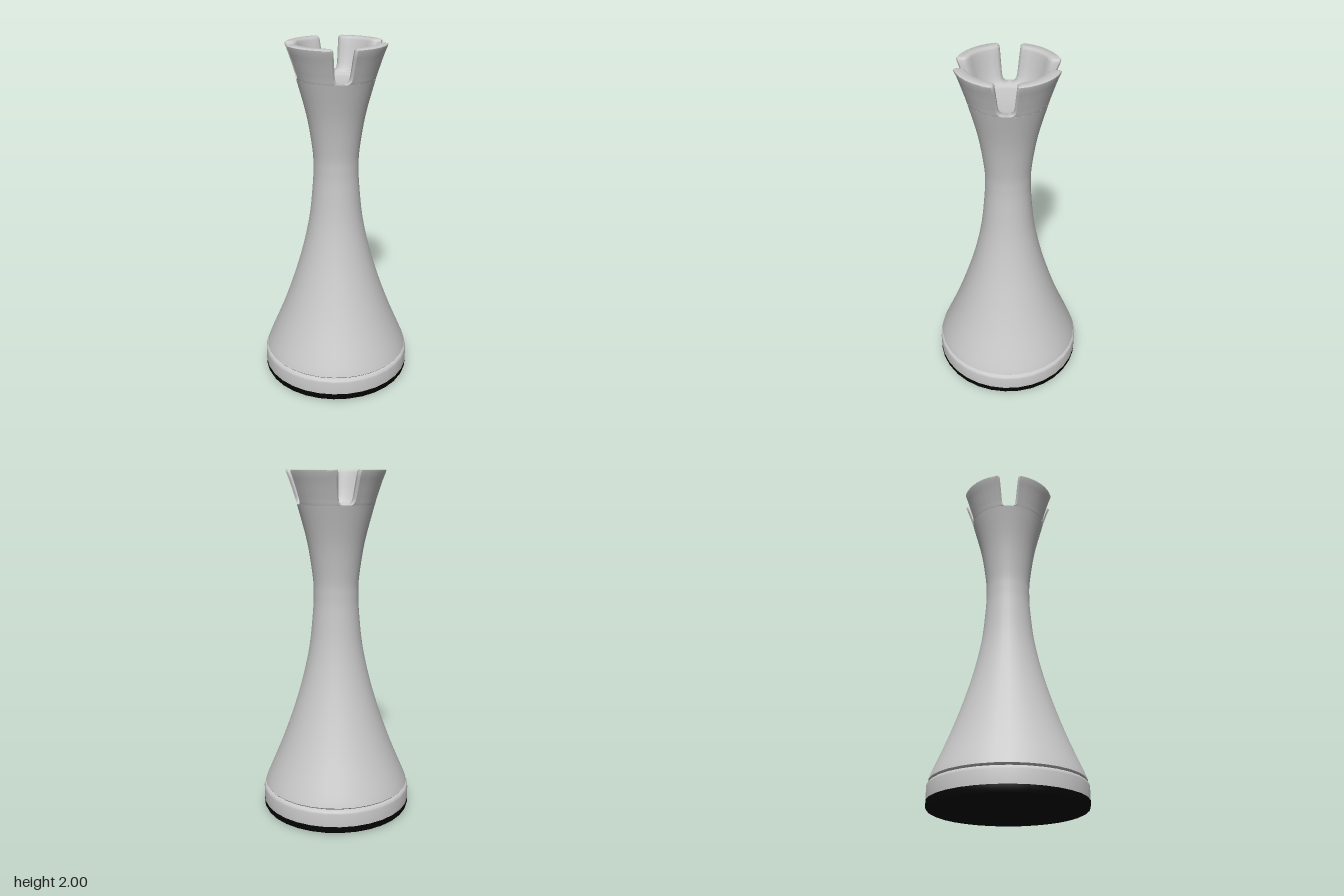
import * as THREE from 'three';
import { toCreasedNormals } from 'three/addons/utils/BufferGeometryUtils.js';

const SEGMENTS = 32;
const ARC = 8;

// Smooth surface of revolution from [radius, height] pairs, bottom to top
function turned(name, profile, material) {
  const points = profile.map(([r, y]) => new THREE.Vector2(r, y));
  const geometry = toCreasedNormals(new THREE.LatheGeometry(points, SEGMENTS), 0.7);
  const mesh = new THREE.Mesh(geometry, material);
  mesh.name = name;
  return mesh;
}

// Outline of one battlement at a height: outer arc, then inner arc back
function outline(y, outer, inner, gap) {
  const soft = 0.012;
  const arc = (r, sign) => {
    const row = [];
    for (let i = 0; i <= ARC; i++) {
      const atEnd = i === 0 || i === ARC;
      const radius = atEnd ? r - sign * soft : r;
      const start = Math.asin((atEnd ? gap : gap + soft) / radius);
      const t = atEnd ? i / ARC : (i - 1) / (ARC - 2);
      const a = start + (Math.PI / 2 - 2 * start) * t;
      row.push([radius * Math.cos(a), y, radius * Math.sin(a)]);
    }
    return row;
  };
  return [...arc(outer, 1), ...arc(inner, -1).reverse()];
}

// Flared battlement lofted through its outlines
function battlementGeometry() {
  // height, outer radius, inner radius, half width of the neighbouring slot
  const levels = [
    [1.81, 0.22, 0.165, 0.012],
    [1.815, 0.222, 0.169, 0.026],
    [1.828, 0.225, 0.176, 0.037],
    [1.85, 0.232, 0.186, 0.042],
    [1.9, 0.248, 0.2, 0.047],
    [1.95, 0.265, 0.213, 0.052],
    [1.984, 0.279, 0.221, 0.056],
    [1.995, 0.281, 0.225, 0.06],
    [2.0, 0.276, 0.232, 0.066],
  ];
  const loops = levels.map((level) => outline(...level));
  const n = loops[0].length;
  const index = [];
  for (let j = 0; j < loops.length - 1; j++) {
    for (let i = 0; i < n; i++) {
      const a = j * n + i;
      const b = j * n + ((i + 1) % n);
      index.push(a, a + n, b, b, a + n, b + n);
    }
  }
  // Top face
  const top = (loops.length - 1) * n;
  for (let i = 0; i < ARC; i++) {
    const o = top + i;
    const k = top + n - 1 - i;
    index.push(o, k, o + 1, o + 1, k, k - 1);
  }
  const geometry = new THREE.BufferGeometry();
  geometry.setAttribute('position', new THREE.Float32BufferAttribute(loops.flat(2), 3));
  geometry.setIndex(index);
  return toCreasedNormals(geometry, 0.9);
}

export function createModel() {
  const stone = new THREE.MeshStandardMaterial({ color: 0xc8c8c8 });
  stone.name = 'light grey';
  const felt = new THREE.MeshStandardMaterial({ color: 0x050505 });
  felt.name = 'black';

  const model = new THREE.Group();
  model.name = 'rook';

  // Dark pad under the foot
  model.add(turned('basePad', [
    [0, 0], [0.422, 0], [0.434, 0.006], [0.44, 0.02], [0.44, 0.045],
  ], felt));

  // Foot ring, closing into the groove below the body
  model.add(turned('baseRing', [
    [0.44, 0.045], [0.44, 0.12], [0.437, 0.132], [0.428, 0.14], [0.405, 0.142],
  ], stone));

  // Flared body with a waist
  const side = new THREE.SplineCurve([
    [0.426, 0.165], [0.408, 0.21], [0.328, 0.4], [0.256, 0.6], [0.197, 0.8], [0.155, 1.0],
    [0.134, 1.2], [0.13, 1.3], [0.134, 1.4], [0.165, 1.6], [0.22, 1.81],
  ].map(([r, y]) => new THREE.Vector2(r, y))).getPoints(40).map((p) => [p.x, p.y]);
  model.add(turned('body', [
    [0.405, 0.142], [0.424, 0.146], [0.43, 0.153], ...side,
    [0.205, 1.81], [0.17, 1.807], [0.158, 1.796], [0.14, 1.793], [0, 1.793],
  ], stone));

  // Four battlements around the cup
  const geometry = battlementGeometry();
  for (let i = 0; i < 4; i++) {
    const battlement = new THREE.Mesh(geometry, stone);
    battlement.name = `battlement${i + 1}`;
    battlement.rotation.y = (i * Math.PI) / 2;
    model.add(battlement);
  }
  return model;
}
